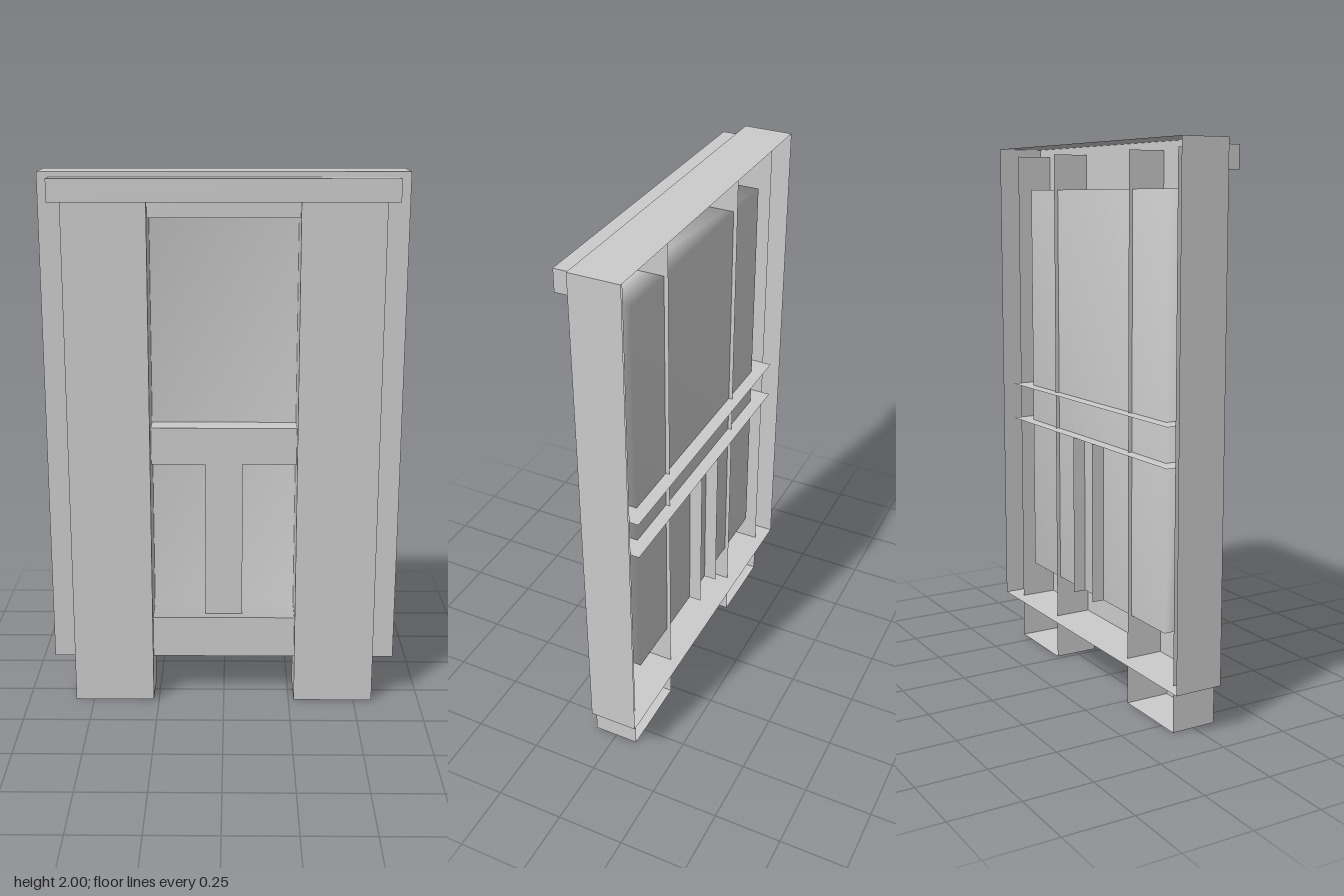
import * as THREE from 'three';

const material = new THREE.MeshStandardMaterial({ color: 0xcccccc, side: THREE.DoubleSide });
const SIDES = ['right', 'left', 'top', 'bottom', 'front', 'back'];

// Thin-walled box between two corners, leaving out the named sides
function shell(name, [x0, y0, z0], [x1, y1, z1], open = []) {
  const geometry = new THREE.BoxGeometry(x1 - x0, y1 - y0, z1 - z0);
  const all = Array.from(geometry.index.array);
  geometry.setIndex(all.filter((_, i) => !open.includes(SIDES[Math.floor(i / 6)])));
  geometry.clearGroups();
  geometry.translate((x0 + x1) / 2, (y0 + y1) / 2, (z0 + z1) / 2);
  const mesh = new THREE.Mesh(geometry, material);
  mesh.name = name;
  return mesh;
}

function rectangle(Type, x, y0, y1) {
  return new Type([[-x, y0], [x, y0], [x, y1], [-x, y1]].map(p => new THREE.Vector2(...p)));
}

// Recessed panel: shared corners give the reveal its soft shading
function recess(x, y0, y1, zFront, zBack) {
  const positions = [];
  for (const z of [zFront, zBack]) positions.push(-x, y0, z, x, y0, z, x, y1, z, -x, y1, z);
  const index = [4, 5, 6, 4, 6, 7];
  for (let i = 0; i < 4; i++) {
    const j = (i + 1) % 4;
    index.push(i, j, j + 4, i, j + 4, i + 4);
  }
  const geometry = new THREE.BufferGeometry();
  geometry.setAttribute('position', new THREE.Float32BufferAttribute(positions, 3));
  geometry.setIndex(index);
  geometry.computeVertexNormals();
  const mesh = new THREE.Mesh(geometry, material);
  mesh.name = 'recessedPanel';
  return mesh;
}

export function createModel() {
  const model = new THREE.Group();
  model.name = 'panelledFrame';

  // Outer casing, open at the back, with a front border around the recess
  const casing = new THREE.Group();
  casing.name = 'casing';
  casing.add(shell('casingWalls', [-0.65, 0.17, -0.125], [0.65, 2, 0.055], ['front', 'back']));
  const face = rectangle(THREE.Shape, 0.65, 0.17, 2);
  face.holes.push(rectangle(THREE.Path, 0.49, 0.33, 1.84));
  const border = new THREE.Mesh(new THREE.ShapeGeometry(face), material);
  border.name = 'frontBorder';
  border.position.z = 0.055;
  casing.add(border, recess(0.49, 0.33, 1.84, 0.055, -0.07));
  model.add(casing);

  // Tall posts that also form the feet
  for (const [name, x] of [['leftPost', 0.42], ['rightPost', -0.42]]) {
    model.add(shell(name, [x - 0.15, 0, -0.085], [x + 0.15, 1.97, 0.085], ['top', 'back']));
  }

  // Top bar across the posts
  model.add(shell('topBar', [-0.61, 1.9, 0.055], [0.61, 1.98, 0.125]));

  // Middle rail and the short upright under it
  model.add(shell('middleRail', [-0.57, 0.93, -0.118], [0.57, 1.07, 0.018], ['left', 'right', 'back']));
  model.add(shell('lowerUpright', [-0.07, 0.33, -0.118], [0.07, 0.93, 0.018], ['top', 'bottom', 'back']));

  return model;
}
